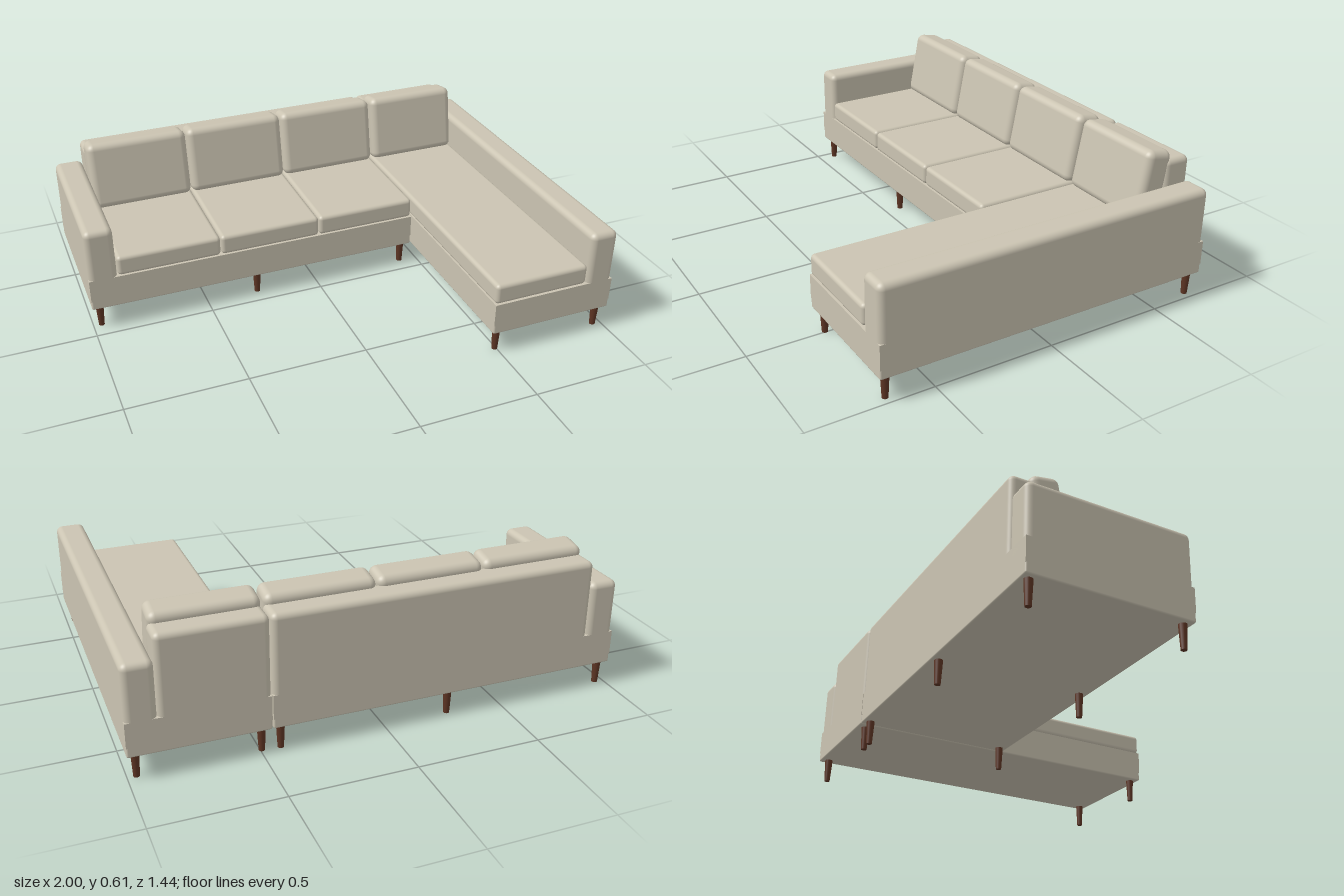
import * as THREE from 'three';
import { RoundedBoxGeometry } from 'three/addons/geometries/RoundedBoxGeometry.js';

export function createModel() {
  const sofa = new THREE.Group();
  sofa.name = 'sectionalSofa';
  const fabric = new THREE.MeshStandardMaterial({ name: 'beige fabric', color: 0xcbc4b2 });
  const wood = new THREE.MeshStandardMaterial({ name: 'brown wood', color: 0x5e3524 });

  // Soft box given by its min and max corners
  function softBox(name, parent, [x0, y0, z0], [x1, y1, z1], radius) {
    const geometry = new RoundedBoxGeometry(x1 - x0, y1 - y0, z1 - z0, 4, radius);
    const mesh = new THREE.Mesh(geometry, fabric);
    mesh.position.set((x0 + x1) / 2, (y0 + y1) / 2, (z0 + z1) / 2);
    mesh.name = name;
    parent.add(mesh);
    return mesh;
  }

  const BACK = -0.72, BACK_FRONT = -0.6;
  const BASE_Y = 0.1, SEAT_Y = 0.24, ARM_Y = 0.465;

  // Plinth: rounded bottom edges with a flat, sharp upper part
  function base(parent, x0, x1, z1) {
    softBox('baseBottom', parent, [x0, BASE_Y, BACK], [x1, SEAT_Y - 0.02, z1], 0.007);
    const upper = new THREE.Mesh(new THREE.BoxGeometry(x1 - x0, 0.1, z1 - BACK), fabric);
    upper.position.set((x0 + x1) / 2, SEAT_Y - 0.05, (BACK + z1) / 2);
    upper.name = 'baseTop';
    parent.add(upper);
  }

  function arm(parent, x0, x1, z1) {
    softBox('arm', parent, [x0, 0.18, BACK], [x1, ARM_Y, z1], 0.026);
  }

  function backrest(parent, x0, x1) {
    softBox('backrest', parent, [x0, 0.18, BACK], [x1, 0.562, BACK_FRONT], 0.024);
  }

  function seatCushion(parent, x0, x1, z1) {
    softBox('seatCushion', parent, [x0, SEAT_Y, BACK_FRONT], [x1, 0.328, z1], 0.017);
  }

  // Loose cushion leaning on the backrest
  function backCushion(parent, x0, x1) {
    const cushion = softBox('backCushion', parent, [x0, 0.312, -0.613], [x1, 0.606, -0.493], 0.03);
    cushion.rotation.x = -0.18;
  }

  const legGeometry = new THREE.CylinderGeometry(0.017, 0.012, BASE_Y + 0.004, 16);
  function legs(parent, xs, zs) {
    for (const x of xs) for (const z of zs) {
      const leg = new THREE.Mesh(legGeometry, wood);
      leg.position.set(x, (BASE_Y + 0.004) / 2, z);
      leg.name = 'leg';
      parent.add(leg);
    }
  }

  // Three-seat section
  const main = new THREE.Group();
  main.name = 'threeSeatSection';
  base(main, -1, 0.456, -0.042);
  arm(main, -1, -0.88, -0.042);
  backrest(main, -0.88, 0.456);
  for (let i = 0; i < 3; i++) {
    const x = -0.878 + i * 0.445;
    seatCushion(main, x, x + 0.442, -0.042);
    backCushion(main, x, x + 0.44);
  }
  legs(main, [-0.965, -0.272, 0.421], [-0.69, -0.077]);

  // Chaise section
  const chaise = new THREE.Group();
  chaise.name = 'chaiseSection';
  base(chaise, 0.46, 1, 0.716);
  arm(chaise, 0.88, 1, 0.716);
  backrest(chaise, 0.46, 0.88);
  seatCushion(chaise, 0.46, 0.877, 0.714);
  backCushion(chaise, 0.462, 0.876);
  legs(chaise, [0.494, 0.965], [-0.685, 0.68]);

  sofa.add(main, chaise);
  return sofa;
}
